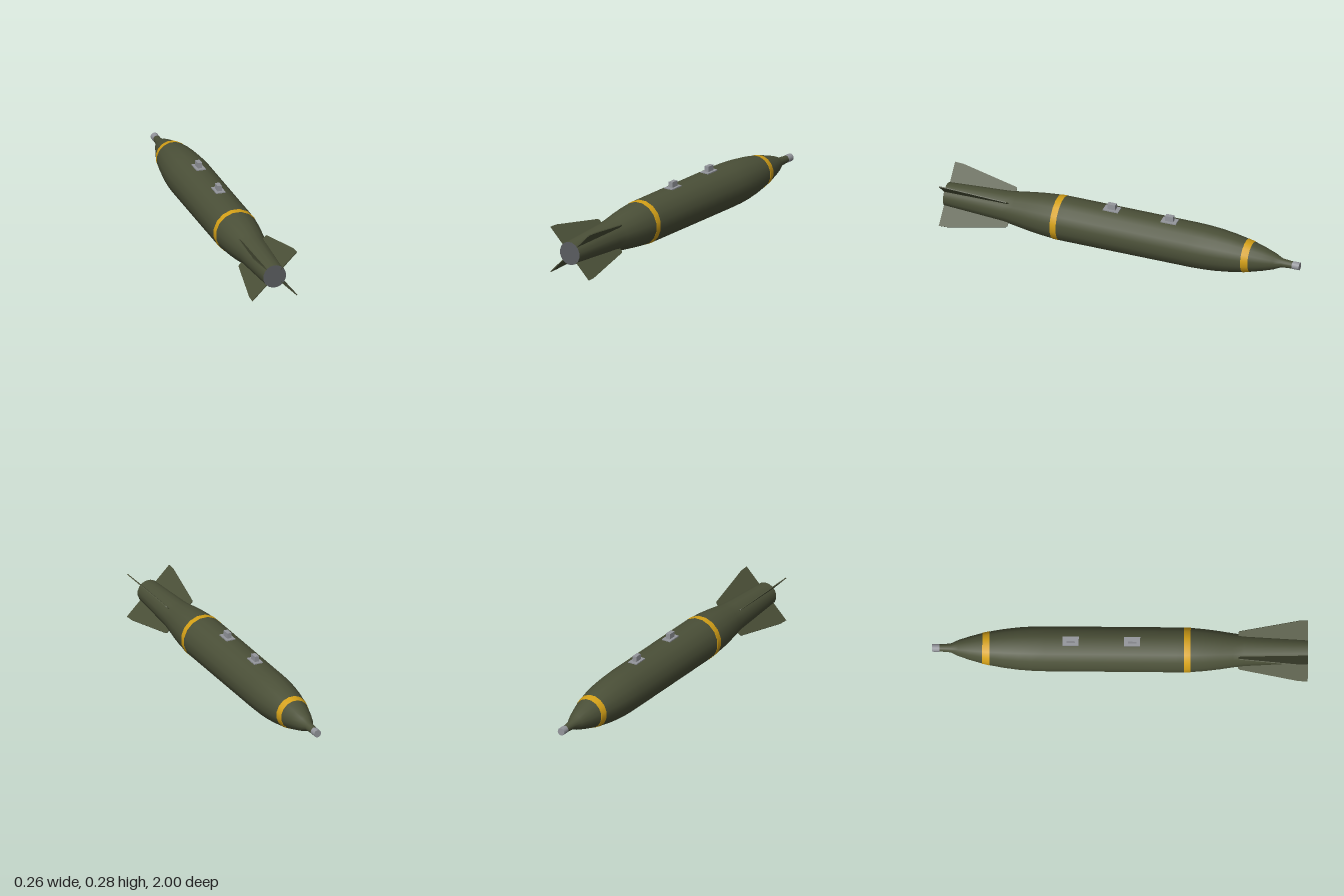
import * as THREE from 'three';

const AXIS_Y = 0.1295;
const SIDES = 16;

const olive = new THREE.MeshStandardMaterial({ name: 'olive', color: 0x4b5038 });
const yellow = new THREE.MeshStandardMaterial({ name: 'yellow', color: 0xd4a017 });
const lightGrey = new THREE.MeshStandardMaterial({ name: 'lightGrey', color: 0x94969c });
const darkGrey = new THREE.MeshStandardMaterial({ name: 'darkGrey', color: 0x5a5d60 });

// Hull profile as [z, radius], from the thin end to the finned end
const PROFILE = [
  [-0.965, 0.019], [-0.9, 0.024], [-0.86, 0.043], [-0.8, 0.063], [-0.732, 0.082], [-0.694, 0.0905],
  [-0.62, 0.104], [-0.54, 0.114], [-0.47, 0.119], [-0.4, 0.121], [0.3, 0.121], [0.341, 0.1205],
  [0.376, 0.119], [0.45, 0.113], [0.53, 0.103], [0.6, 0.092], [0.66, 0.084], [1, 0.0645],
];

// Turned shape along z with a flat facet on top
function turned(points) {
  const g = new THREE.LatheGeometry(points.map(([z, r]) => new THREE.Vector2(r, z)), SIDES);
  return g.rotateX(Math.PI / 2).rotateZ(Math.PI / SIDES);
}

export function createModel() {
  const model = new THREE.Group();
  model.name = 'finnedCylinder';
  const axis = new THREE.Group();
  axis.name = 'hullAssembly';
  axis.position.y = AXIS_Y;
  model.add(axis);

  const add = (parent, name, geometry, material) => {
    const mesh = new THREE.Mesh(geometry, material);
    mesh.name = name;
    parent.add(mesh);
    return mesh;
  };

  // Hull and flat tail plate
  add(axis, 'hull', turned(PROFILE), olive);
  const plate = new THREE.CircleGeometry(0.0645, SIDES).rotateZ(Math.PI / SIDES);
  add(axis, 'tailPlate', plate, darkGrey).position.z = 1;

  // Painted bands, following the hull profile
  for (const [name, i] of [['noseBand', 4], ['tailBand', 11]]) {
    const [a, b] = [PROFILE[i], PROFILE[i + 1]];
    const lift = 0.0015;
    add(axis, name, turned([a, [a[0], a[1] + lift], [b[0], b[1] + lift], b]), yellow);
  }

  // Nose cap
  const cap = new THREE.CylinderGeometry(0.021, 0.021, 0.04, SIDES).rotateX(Math.PI / 2);
  add(axis, 'noseCap', cap, lightGrey).position.z = -0.98;

  // Four diagonal fins, drawn as radius against z
  const outline = [[0.05, 1], [0.178, 1], [0.176, 0.95], [0.112, 0.637], [0.104, 0.63], [0.07, 0.63]];
  const finShape = new THREE.Shape(outline.map(([r, z]) => new THREE.Vector2(r, z)));
  const finGeometry = new THREE.ExtrudeGeometry(finShape, { depth: 0.005, bevelEnabled: false });
  finGeometry.translate(0, 0, -0.0025).rotateX(Math.PI / 2);
  for (let i = 0; i < 4; i++) {
    add(axis, 'fin' + (i + 1), finGeometry, olive).rotation.z = Math.PI / 4 + i * Math.PI / 2;
  }

  // Two lugs on top, each a base plate and a block
  [0.065, -0.262].forEach((z, i) => {
    const lug = new THREE.Group();
    lug.name = i === 0 ? 'tailLug' : 'noseLug';
    lug.position.z = z;
    model.add(lug);
    add(lug, 'lugPlate', new THREE.BoxGeometry(0.052, 0.012, 0.086), lightGrey).position.y = 0.247;
    add(lug, 'lugBlock', new THREE.BoxGeometry(0.024, 0.034, 0.045), lightGrey).position.y = 0.266;
  });

  return model;
}
